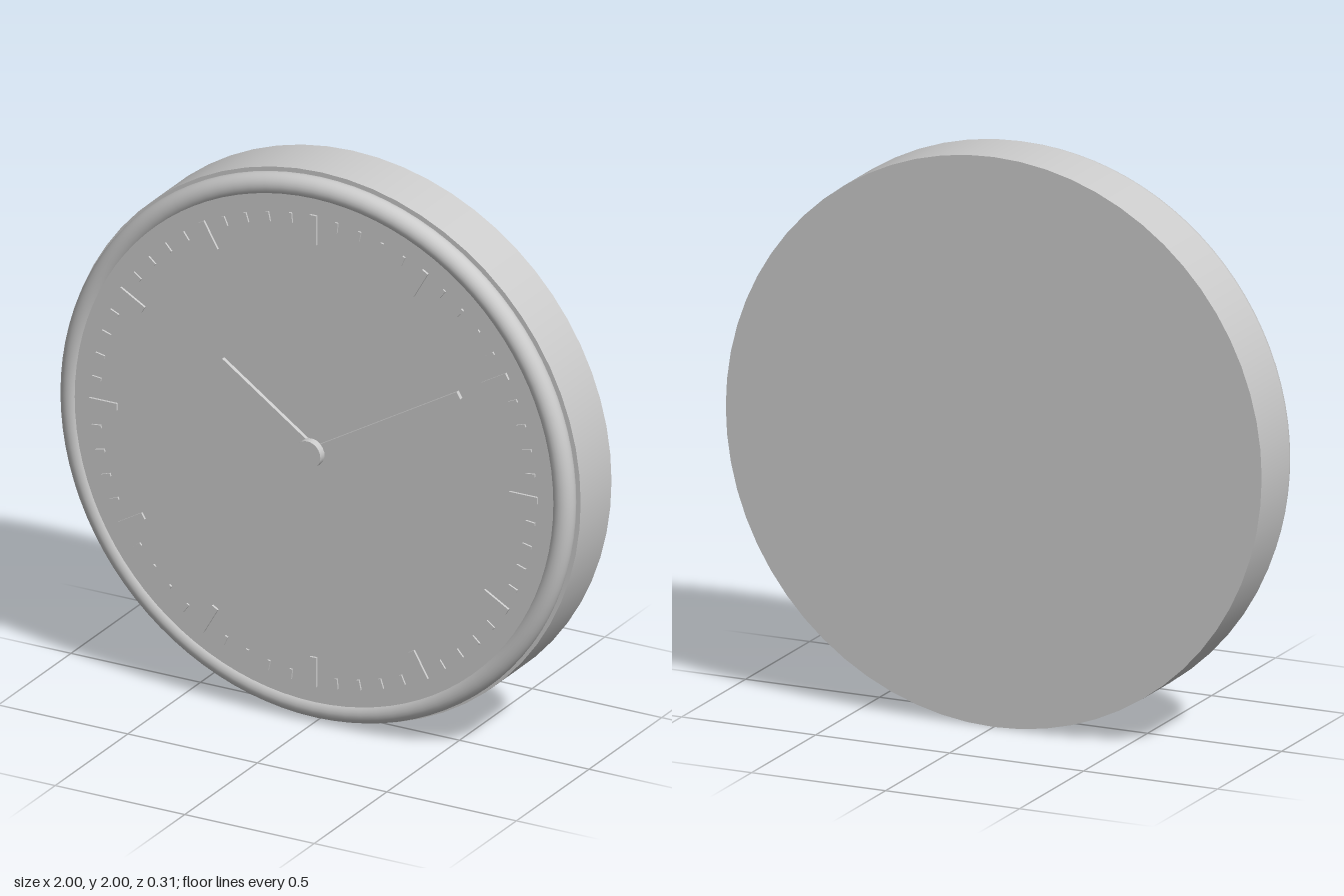
import * as THREE from 'three';

export function createModel() {
  const clock = new THREE.Group();
  clock.name = 'wallClock';
  const material = new THREE.MeshStandardMaterial({ color: 0xcccccc });

  const add = (name, geometry, parent = clock) => {
    const mesh = new THREE.Mesh(geometry, material);
    mesh.name = name;
    parent.add(mesh);
    return mesh;
  };

  // Disc facing +z between two depths
  const disc = (name, radius, back, front, segments) =>
    add(name, new THREE.CylinderGeometry(radius, radius, front - back, segments)
      .rotateX(Math.PI / 2).translate(0, 0, (back + front) / 2));

  // Radial bar from r0 to r1, turned clockwise from twelve
  const bar = (name, width, r0, r1, back, front, clockwise, parent) => {
    const geometry = new THREE.BoxGeometry(width, r1 - r0, front - back)
      .translate(0, (r0 + r1) / 2, (back + front) / 2);
    add(name, geometry, parent).rotation.z = -clockwise;
  };

  // Case, rounded rim and dial
  disc('case', 1, -0.155, 0.057, 64);
  add('rim', new THREE.TorusGeometry(0.95, 0.04, 24, 96)).position.z = 0.08;
  disc('dial', 0.94, 0.05, 0.11, 64);

  // Hour and minute marks
  const marks = new THREE.Group();
  marks.name = 'marks';
  clock.add(marks);
  for (let i = 0; i < 60; i++) {
    const angle = (i / 60) * Math.PI * 2;
    if (i % 5 === 0) bar('hourMark', 0.025, 0.757, 0.865, 0.1, 0.119, angle, marks);
    else bar('minuteMark', 0.011, 0.824, 0.86, 0.1, 0.117, angle, marks);
  }

  // Hands at ten past ten, and the hub
  bar('hourHand', 0.045, 0, 0.437, 0.112, 0.127, THREE.MathUtils.degToRad(-55));
  bar('minuteHand', 0.028, 0, 0.655, 0.112, 0.128, THREE.MathUtils.degToRad(60));
  disc('hub', 0.05, 0.127, 0.156, 32);

  // Stand the clock on the ground
  clock.children.forEach((part) => { part.position.y += 1; });
  return clock;
}
